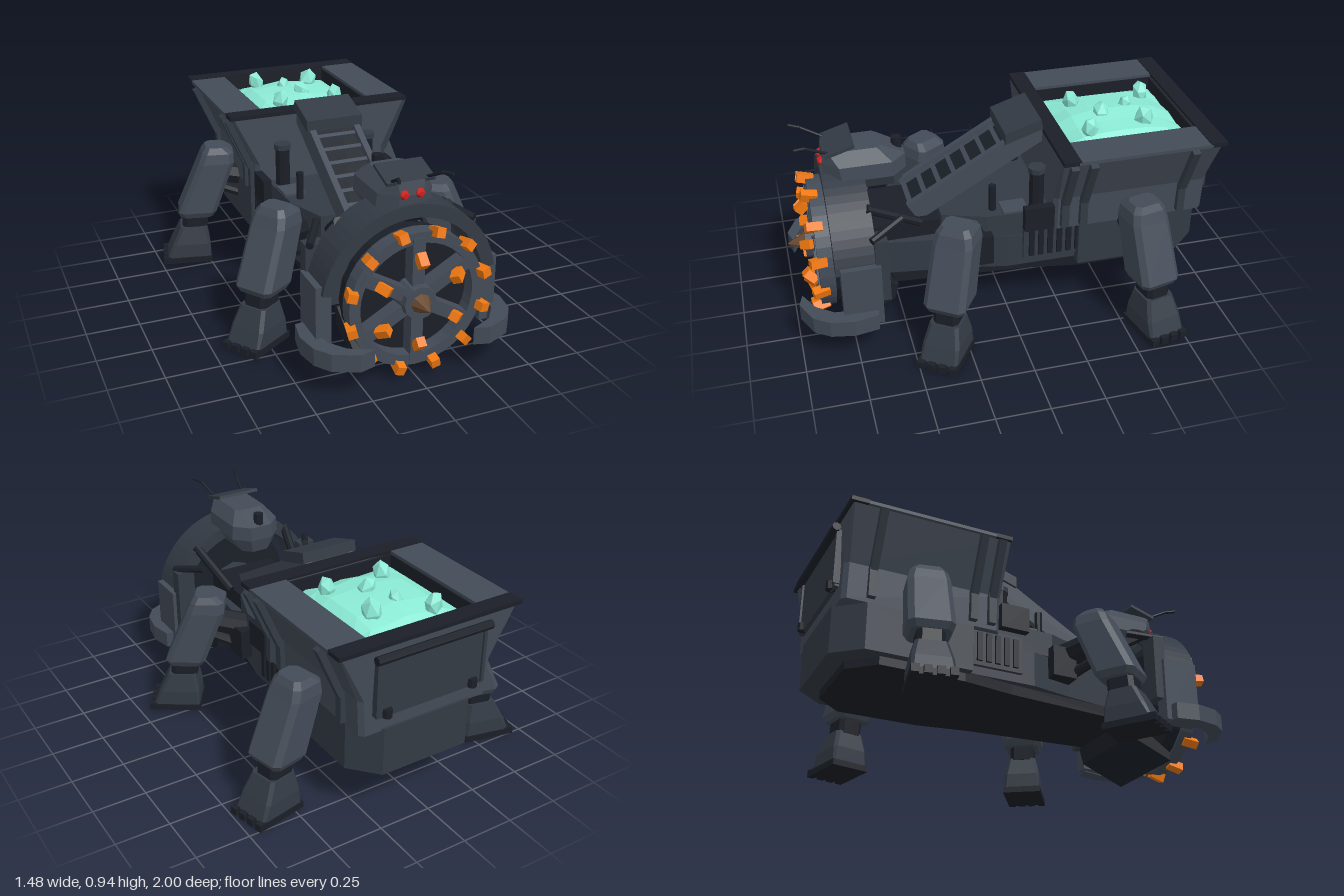
import * as THREE from 'three';

const GREY = 0x434b57, MID = 0x333a44, DARK = 0x1b1f27, ORANGE = 0xf07810, MINT = 0x8cecd6, RED = 0xd0201c;
const mats = {};
const mat = (c) => (mats[c] ??= new THREE.MeshStandardMaterial({ color: c, flatShading: true }));

function add(parent, name, geo, color, x = 0, y = 0, z = 0) {
  const m = new THREE.Mesh(geo, mat(color));
  m.name = name;
  m.position.set(x, y, z);
  parent.add(m);
  return m;
}
// Box given by its limits
const box = (parent, name, color, x0, x1, y0, y1, z0, z1) =>
  add(parent, name, new THREE.BoxGeometry(x1 - x0, y1 - y0, z1 - z0), color, (x0 + x1) / 2, (y0 + y1) / 2, (z0 + z1) / 2);

// Round bar between two points
function rod(parent, name, color, a, b, r, r2 = r, sides = 8) {
  const p = new THREE.Vector3(...a), q = new THREE.Vector3(...b), d = q.clone().sub(p);
  const m = add(parent, name, new THREE.CylinderGeometry(r2, r, d.length(), sides), color);
  m.position.copy(p).add(q).multiplyScalar(0.5);
  m.quaternion.setFromUnitVectors(new THREE.Vector3(0, 1, 0), d.normalize());
  return m;
}
// Chamfered rectangles [y, x0, x1, z0, z1, chamfer] skinned from bottom to top
function loft(sections) {
  const v = [];
  const rings = sections.map(([y, x0, x1, z0, z1, c]) => [
    [x1, y, z0 + c], [x1, y, z1 - c], [x1 - c, y, z1], [x0 + c, y, z1],
    [x0, y, z1 - c], [x0, y, z0 + c], [x0 + c, y, z0], [x1 - c, y, z0]]);
  const n = rings.length - 1;
  for (let i = 0; i < 8; i++) {
    const j = (i + 1) % 8;
    for (let k = 0; k < n; k++) {
      const a = rings[k], b = rings[k + 1];
      v.push(...a[i], ...b[i], ...a[j], ...a[j], ...b[i], ...b[j]);
    }
    if (i > 0 && i < 7) {
      v.push(...rings[0][0], ...rings[0][i], ...rings[0][j]);
      v.push(...rings[n][0], ...rings[n][j], ...rings[n][i]);
    }
  }
  const g = new THREE.BufferGeometry();
  g.setAttribute('position', new THREE.Float32BufferAttribute(v, 3));
  g.computeVertexNormals();
  return g;
}
const shapeOf = (pts) => new THREE.Shape(pts.map(([x, y]) => new THREE.Vector2(x, y)));
// Plan outline [x, z] raised from y0 to y1
function plan(pts, y0, y1) {
  const g = new THREE.ExtrudeGeometry(shapeOf(pts.map(([x, z]) => [x, -z])), { depth: y1 - y0, bevelEnabled: false });
  return g.rotateX(-Math.PI / 2).translate(0, y0, 0);
}
const mirrored = (pts) => [...pts, ...pts.map(([x, z]) => [-x, z]).reverse()];
// Side outline [z, y] spread across the width
function side(pts, halfWidth) {
  const g = new THREE.ExtrudeGeometry(shapeOf(pts.map(([z, y]) => [-z, y])), { depth: halfWidth * 2, bevelEnabled: false });
  return g.translate(0, 0, -halfWidth).rotateY(Math.PI / 2);
}
// Ring or arch in the xy plane
function arc(r0, r1, a0, a1, depth, seg) {
  const s = new THREE.Shape();
  s.absarc(0, 0, r1, a0, a1, false);
  s.absarc(0, 0, r0, a1, a0, true);
  return new THREE.ExtrudeGeometry(s, { depth, bevelEnabled: false, curveSegments: seg });
}

function buildHull(g) {
  add(g, 'bellyPlate', plan(mirrored([[0.2, 0.54], [0.25, -0.1], [0.29, -0.35], [0.29, -0.75], [0.18, -0.87]]), 0.2, 0.25), DARK);
  add(g, 'hullFront', plan(mirrored([[0.19, 0.56], [0.24, 0.2], [0.28, 0], [0.28, -0.36]]), 0.25, 0.42), MID);
  add(g, 'hullRear', plan(mirrored([[0.33, -0.33], [0.33, -0.83], [0.22, -0.955]]), 0.24, 0.47), MID);
  add(g, 'deck', plan(mirrored([[0.2, 0.3], [0.27, 0.1], [0.28, -0.22]]), 0.42, 0.54), MID);
  add(g, 'neck', side([[0.66, 0.22], [0.66, 0.5], [0.3, 0.5], [0.3, 0.25]], 0.17), DARK);
  add(g, 'scoop', side([[0.76, 0.03], [0.76, 0.07], [0.55, 0.21], [0.52, 0.2], [0.54, 0.12]], 0.225), DARK);
  for (const s of [-1, 1]) {
    for (let i = 0; i < 6; i++) box(g, 'grilleSlat', DARK, s * 0.295 - 0.015, s * 0.295 + 0.015, 0.31, 0.45, -0.12 - i * 0.045, -0.095 - i * 0.045);
    box(g, 'grilleFrame', MID, s * 0.283 - 0.015, s * 0.283 + 0.015, 0.29, 0.47, -0.35, -0.07);
    rod(g, 'exhaust', DARK, [s * 0.22, 0.5, -0.15], [s * 0.22, 0.72, -0.15], 0.036);
    rod(g, 'exhaustCap', MID, [s * 0.22, 0.72, -0.15], [s * 0.22, 0.745, -0.15], 0.042);
    rod(g, 'deckPost', DARK, [s * 0.21, 0.5, 0.06], [s * 0.21, 0.67, 0.06], 0.018);
    box(g, 'sidePanel', DARK, s * 0.33 - 0.02, s * 0.33 + 0.02, 0.48, 0.6, -0.2, -0.06);
    box(g, 'deckBox', GREY, s * 0.22 - 0.05, s * 0.22 + 0.05, 0.53, 0.55, -0.1, 0.02);
    box(g, 'hipBracket', DARK, s * 0.27 - 0.05, s * 0.27 + 0.05, 0.31, 0.46, 0.08, 0.2);
  }
}

function buildHopper(g) {
  add(g, 'hopper', loft([[0.46, -0.33, 0.33, -0.945, -0.2, 0.02], [0.63, -0.34, 0.34, -0.945, -0.2, 0.02],
    [0.87, -0.445, 0.445, -0.955, -0.2, 0.005], [0.875, -0.28, 0.28, -0.89, -0.28, 0], [0.76, -0.28, 0.28, -0.89, -0.28, 0]]), GREY);
  for (const z of [-0.24, -0.93]) box(g, 'rimBar', DARK, -0.46, 0.46, 0.868, 0.888, z - 0.04, z + 0.04);
  for (const z of [-0.285, -0.885]) box(g, 'endLining', DARK, -0.28, 0.28, 0.765, 0.87, z - 0.006, z + 0.006);
  for (const s of [-1, 1]) {
    box(g, 'rimSide', GREY, s * 0.37 - 0.09, s * 0.37 + 0.09, 0.868, 0.884, -0.9, -0.27);
    box(g, 'sideLining', DARK, s * 0.279 - 0.006, s * 0.279 + 0.006, 0.765, 0.87, -0.89, -0.28);
    // Ribs that follow the flare of the side
    for (const z of [-0.25, -0.34, -0.82]) {
      const r = add(g, 'sideRib', new THREE.BoxGeometry(0.03, 0.27, 0.035), MID, s * 0.406, 0.735, z);
      r.rotation.z = -s * 0.41;
      box(g, 'lowerRib', MID, s * 0.345 - 0.015, s * 0.345 + 0.015, 0.48, 0.63, z - 0.018, z + 0.018);
    }
    rod(g, 'gateHinge', DARK, [s * 0.22, 0.54, -0.968], [s * 0.22, 0.58, -0.968], 0.022);
    box(g, 'gateEdge', MID, s * 0.27 - 0.008, s * 0.27 + 0.008, 0.55, 0.82, -0.975, -0.94);
  }
  box(g, 'tailgate', MID, -0.27, 0.27, 0.54, 0.82, -0.965, -0.9);
  rod(g, 'gateRail', DARK, [-0.29, 0.825, -0.98], [0.29, 0.825, -0.98], 0.02);
  // Heaped load with crystals
  const load = new THREE.PlaneGeometry(0.56, 0.61, 6, 6).rotateX(-Math.PI / 2), p = load.attributes.position;
  for (let i = 0; i < p.count; i++) {
    const u = Math.abs(p.getX(i)) / 0.28, w = Math.abs(p.getZ(i)) / 0.305;
    p.setY(i, 0.07 * (1 - u ** 3) * (1 - w ** 3) + 0.006 * Math.sin(i * 2.7));
  }
  add(g, 'load', load, MINT, 0, 0.805, -0.585);
  [[-0.14, -0.78], [0.12, -0.7], [-0.03, -0.66], [0.02, -0.52], [-0.13, -0.42], [0.16, -0.42]].forEach(([x, z], i) => {
    const r = [0.04, 0.048, 0.034, 0.042, 0.042, 0.04][i];
    const c = add(g, 'crystal', new THREE.IcosahedronGeometry(r, 0).scale(1, 1.5, 1), MINT, x, 0.87, z);
    c.rotation.set(0.3 * Math.sin(i * 2), i, 0.3 * Math.cos(i * 3));
  });
}

function buildConveyor(g) {
  const c = new THREE.Group();
  c.name = 'conveyor';
  c.position.set(0, 0.705, 0.12);
  c.rotation.x = Math.atan2(0.36, 0.62);
  g.add(c);
  box(c, 'conveyorBed', DARK, -0.1, 0.1, -0.06, 0.01, -0.37, 0.35);
  for (const s of [-1, 1]) box(c, 'conveyorRail', GREY, s * 0.112 - 0.015, s * 0.112 + 0.015, -0.06, 0.045, -0.37, 0.35);
  for (let i = 0; i < 7; i++) box(c, 'conveyorSlat', GREY, -0.1, 0.1, 0, 0.028, -0.17 + i * 0.083, -0.15 + i * 0.083);
  add(g, 'conveyorHood', side([[-0.02, 0.83], [-0.02, 0.885], [-0.19, 0.94], [-0.2, 0.89]], 0.14), MID);
}

function buildHead(g) {
  add(g, 'head', loft([[0.67, -0.08, 0.08, 0.45, 0.72, 0.04], [0.74, -0.13, 0.13, 0.43, 0.8, 0.07],
    [0.81, -0.125, 0.125, 0.43, 0.81, 0.07], [0.87, -0.08, 0.08, 0.54, 0.8, 0.02]]), GREY);
  rod(g, 'headKnob', DARK, [0, 0.74, 0.46], [0, 0.87, 0.46], 0.025);
  const visor = box(g, 'visor', MID, -0.11, 0.11, 0.877, 0.892, 0.66, 0.8);
  visor.rotation.x = 0.3;
  for (const s of [-1, 1]) {
    add(g, 'eye', new THREE.IcosahedronGeometry(0.023, 0), RED, s * 0.036, 0.815, 0.808);
    rod(g, 'antenna', DARK, [s * 0.08, 0.87, 0.78], [s * 0.1, 0.92, 0.88], 0.007);
    rod(g, 'antennaTip', DARK, [s * 0.1, 0.92, 0.88], [s * 0.12, 0.927, 0.93], 0.008);
  }
}

function buildDigger(g) {
  const d = new THREE.Group();
  d.name = 'digger';
  d.position.set(0, 0.365, 0);
  g.add(d);
  add(d, 'archGuard', arc(0.345, 0.405, 0.15, Math.PI - 0.15, 0.19, 14), MID, 0, 0, 0.63);
  rod(d, 'drum', DARK, [0, 0, 0.75], [0, 0, 0.82], 0.3, 0.3, 20);
  rod(d, 'axle', MID, [0, 0, 0.6], [0, 0, 0.76], 0.12, 0.12, 10);
  add(d, 'wheelRim', arc(0.26, 0.31, 0, Math.PI * 2, 0.07, 20), GREY, 0, 0, 0.815);
  rod(d, 'hub', GREY, [0, 0, 0.8], [0, 0, 0.92], 0.088, 0.075, 12);
  rod(d, 'drillTip', 0x6a4a30, [0, 0, 0.92], [0, 0, 1.0], 0.045, 0.002, 8);
  const tooth = (parent, r, z, depth, tilt) => {
    const t = add(parent, 'tooth', new THREE.BoxGeometry(0.04, 0.043, depth), ORANGE, 0, r, z);
    t.rotation.x = tilt;
  };
  for (let i = 0; i < 12; i++) {
    const arm = new THREE.Group();
    arm.name = 'wheelArm';
    arm.rotation.z = (i * Math.PI) / 6;
    d.add(arm);
    if (i % 2 === 0) {
      box(arm, 'spoke', GREY, -0.028, 0.028, 0.05, 0.285, 0.82, 0.89);
      tooth(arm, 0.195, 0.915, 0.06, Math.PI / 4);
    }
    const slot = new THREE.Group();
    slot.name = 'toothMount';
    slot.rotation.z = Math.PI / 12;
    arm.add(slot);
    tooth(slot, 0.31, 0.885, 0.075, -0.25);
  }
  for (const s of [-1, 1]) {
    box(g, 'archPost', GREY, s * 0.388 - 0.035, s * 0.388 + 0.035, 0.15, 0.46, 0.62, 0.8);
    box(g, 'postBack', MID, s * 0.36 - 0.045, s * 0.36 + 0.045, 0.26, 0.58, 0.58, 0.64);
    const claw = [[0.38, 0.64], [0.46, 0.65], [0.48, 0.76], [0.46, 0.87], [0.41, 0.94], [0.3, 0.99], [0.23, 0.97], [0.33, 0.92], [0.39, 0.84], [0.4, 0.74]];
    add(g, 'claw', plan(claw.map(([x, z]) => [x * s, z]), 0.145, 0.225), GREY);
    rod(g, 'strut', DARK, [s * 0.26, 0.67, 0.65], [s * 0.2, 0.52, 0.4], 0.022);
    rod(g, 'sideRod', DARK, [s * 0.39, 0.58, 0.65], [s * 0.3, 0.62, 0.5], 0.018);
    box(g, 'yoke', MID, s * 0.25 - 0.1, s * 0.25 + 0.1, 0.27, 0.43, 0.58, 0.63);
  }
}

// One leg, foot at the origin, reaching outward along +x
function buildLeg(parent, name, x, z, yaw) {
  const l = new THREE.Group();
  l.name = name;
  l.position.set(x, 0, z);
  l.rotation.y = yaw;
  parent.add(l);
  box(l, 'sole', DARK, -0.115, 0.12, 0, 0.03, -0.095, 0.095);
  for (let i = 0; i < 4; i++) box(l, 'toe', DARK, 0.1, 0.138, 0, 0.035, -0.095 + i * 0.052, -0.061 + i * 0.052);
  add(l, 'foot', loft([[0.03, -0.11, 0.115, -0.09, 0.09, 0.01], [0.1, -0.11, 0.085, -0.088, 0.088, 0.015], [0.19, -0.095, 0.04, -0.07, 0.07, 0.015]]), MID);
  add(l, 'ankle', loft([[0.18, -0.1, 0.03, -0.06, 0.06, 0.02], [0.3, -0.11, 0.02, -0.06, 0.06, 0.02]]), DARK);
  add(l, 'upperLeg', loft([[0.25, -0.13, 0.03, -0.085, 0.085, 0.02], [0.28, -0.15, 0.045, -0.1, 0.1, 0.025],
    [0.54, -0.25, -0.07, -0.095, 0.095, 0.025], [0.59, -0.25, -0.09, -0.085, 0.085, 0.025], [0.62, -0.21, -0.11, -0.065, 0.065, 0.02]]), GREY);
  rod(l, 'hipAxle', DARK, [-0.36, 0.44, 0], [-0.15, 0.48, 0], 0.06);
  rod(l, 'hipPiston', DARK, [-0.33, 0.33, 0], [-0.1, 0.42, 0], 0.025);
}

export function createModel() {
  const g = new THREE.Group();
  g.name = 'walkingMiner';
  for (const f of [buildHull, buildHopper, buildConveyor, buildHead, buildDigger]) f(g);
  for (const [s, word] of [[1, 'left'], [-1, 'right']]) {
    const turn = (a) => (s > 0 ? a : Math.PI - a);
    buildLeg(g, word + 'FrontLeg', s * 0.535, 0.358, turn(-0.59));
    buildLeg(g, word + 'RearLeg', s * 0.587, -0.635, turn(0.22));
  }
  return g;
}
